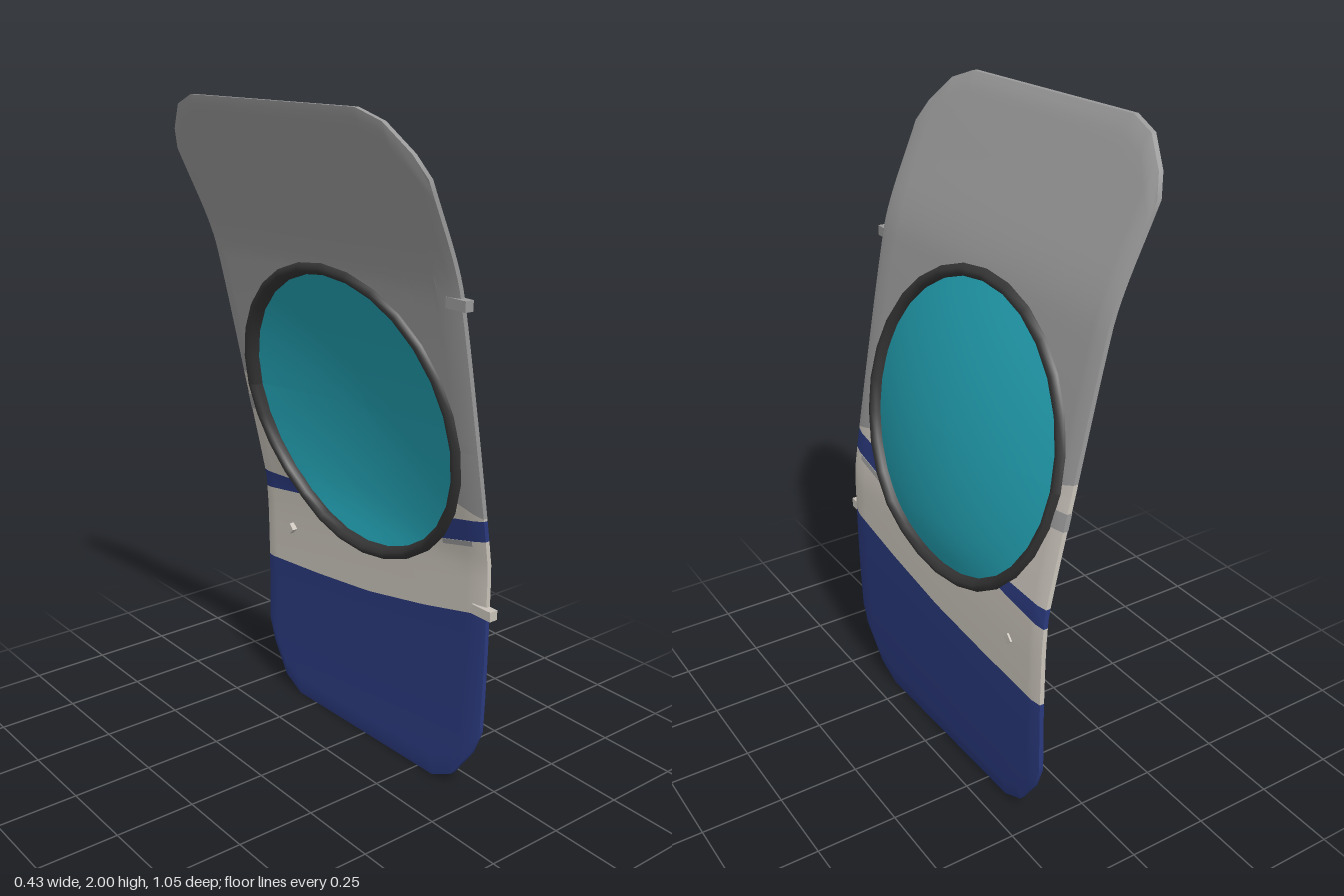
import * as THREE from 'three';
import { toCreasedNormals } from 'three/addons/utils/BufferGeometryUtils.js';

// Piecewise linear curve through [input, value] pairs
const curve = (...pts) => (t) => {
  let i = 1;
  while (i < pts.length - 1 && t > pts[i][0]) i++;
  const [a, b] = [pts[i - 1], pts[i]];
  const k = THREE.MathUtils.clamp((t - a[0]) / (b[0] - a[0]), 0, 1);
  return a[1] + (b[1] - a[1]) * k;
};

// Side profile of the panel: x for a height y, straight beside the window
const spline = new THREE.SplineCurve([
  [0, 0.168], [0.2, 0.178], [0.45, 0.183], [0.7, 0.18], [0.8, 0.168], [1.09, 0.112],
  [1.45, 0.04], [1.6, 0.001], [1.8, -0.086], [2, -0.176],
].map(([y, x]) => new THREE.Vector2(y, x)));
const profile = curve(...spline.getPoints(90).map((p) => [p.x, p.y]));
const twist = curve([0, 0.02], [0.63, 0.03], [1.09, 0.055], [2, 0.087]);
const surfaceX = (y, z) => profile(y) + twist(y) * z;

// Panel outline with clipped round corners
const Z0 = -0.52, Z1 = 0.495;
const corner = curve([0, 0.22], [0.03, 0.14], [0.1, 0.04], [0.18, 0]);
const side = (z) => Math.min(z - Z0, Z1 - z);
const bottom = (z) => corner(side(z));
const top = (z) => 2 - corner(side(z)) * 0.75;

// Round window opening
const CY = 1.085, CZ = -0.024, RADIUS = 0.445;
const opening = (z) => Math.sqrt(Math.max(0, RADIUS ** 2 - (z - CZ) ** 2));
const sill = (z) => CY - opening(z);
const head = (z) => CY + opening(z);

const columns = [];
for (const d of [0, 0.03, 0.1, 0.18]) columns.push(Z0 + d, Z1 - d);
for (let i = 0; i <= 36; i++) columns.push(CZ - RADIUS * Math.cos(Math.PI * i / 36));
columns.sort((a, b) => a - b);

// Solid slice of the curved panel between two height curves
function band(lo, hi, rows, zs = columns, extra = 0) {
  const pos = [], idx = [], n = 2 * (rows + 1);
  zs.forEach((z) => {
    for (let j = 0; j < n; j++) {
      const outer = j <= rows;
      const k = (outer ? j : n - 1 - j) / rows;
      const y = lo(z) + (hi(z) - lo(z)) * k;
      const edge = Math.max(0, Math.min(y - bottom(z), top(z) - y, side(z)));
      const half = 0.007 + 0.007 * Math.min(1, edge / 0.03) + extra;
      pos.push(surfaceX(y, z) + (outer ? half : -half), y, z);
    }
  });
  const quad = (a, b, c, d) => idx.push(a, b, c, a, c, d);
  for (let i = 0; i < zs.length - 1; i++) {
    for (let j = 0; j < n; j++) {
      const j2 = (j + 1) % n, a = i * n, b = a + n;
      quad(a + j, a + j2, b + j2, b + j);
    }
  }
  const last = (zs.length - 1) * n;
  for (let j = 0; j < rows; j++) {
    quad(last + j, last + j + 1, last + n - 2 - j, last + n - 1 - j);
    quad(n - 1 - j, n - 2 - j, j + 1, j);
  }
  const g = new THREE.BufferGeometry();
  g.setAttribute('position', new THREE.Float32BufferAttribute(pos, 3));
  g.setIndex(idx);
  return toCreasedNormals(g, 0.6);
}

// Turns a flat round geometry towards the side and lays it on the panel
function drape(g, depth, bulge = 0) {
  g.rotateY(Math.PI / 2);
  const p = g.attributes.position;
  for (let i = 0; i < p.count; i++) {
    const r2 = (p.getY(i) ** 2 + p.getZ(i) ** 2) / RADIUS ** 2;
    const y = p.getY(i) + CY, z = p.getZ(i) + CZ;
    p.setXYZ(i, surfaceX(y, z) + p.getX(i) * depth + bulge * Math.max(0, 1 - r2), y, z);
  }
  g.computeVertexNormals();
  return g;
}

export function createModel() {
  const group = new THREE.Group();
  const material = (name, color) => {
    const m = new THREE.MeshStandardMaterial({ color });
    m.name = name;
    return m;
  };
  const grey = material('grey paint', 0x999999);
  const cream = material('cream paint', 0xc8c2b9);
  const blue = material('blue paint', 0x2a397c);
  const teal = material('teal glass', 0x229fb0);
  const rubber = material('dark rubber', 0x343434);
  teal.side = THREE.DoubleSide;
  const add = (name, geometry, mat) => {
    const mesh = new THREE.Mesh(geometry, mat);
    mesh.name = name;
    group.add(mesh);
    return mesh;
  };
  // Band cut by the window: one piece under the opening, one over it
  const addCut = (name, lo, hi, rows, mat) => {
    add(name + 'Below', band((z) => Math.min(lo(z), sill(z)), (z) => Math.min(hi(z), sill(z)), rows), mat);
    add(name + 'Above', band((z) => Math.max(lo(z), head(z)), (z) => Math.max(hi(z), head(z)), rows), mat);
  };

  // Painted bands, from the foot of the panel to its top
  const blueTop = curve([Z0, 0.455], [-0.25, 0.475], [0, 0.5], [0.25, 0.545], [Z1, 0.6]);
  const stripeLow = curve([Z0, 0.705], [-0.3, 0.735], [0.3, 0.78], [Z1, 0.825]);
  const stripeHigh = curve([Z0, 0.765], [-0.3, 0.775], [0.3, 0.85], [Z1, 0.888]);
  const creamTop = curve([Z0, 1.12], [-0.45, 1.1], [0.4, 0.92], [Z1, 0.895]);
  add('lowerPanel', band(bottom, blueTop, 16), blue);
  addCut('creamBand', blueTop, stripeLow, 6, cream);
  addCut('thinStripe', stripeLow, stripeHigh, 2, blue);
  addCut('upperCreamBand', stripeHigh, creamTop, 6, cream);
  addCut('upperPanel', creamTop, top, 24, grey);

  // Small grey patches beside the window
  add('rearPatch', band(() => 0.99, () => 1.04, 1, [Z0 - 0.001, -0.49, -0.47], 0.001), grey);
  add('frontPatch', band((z) => stripeLow(z) - 0.016, stripeLow, 1, [0.33, 0.4, 0.45], 0.002), grey);

  // Round window: one bulging pane in a deep rubber frame
  add('windowGlass', drape(new THREE.RingGeometry(0, RADIUS, 40, 8), 1, 0.064), teal);
  add('windowFrame', drape(new THREE.TorusGeometry(RADIUS, 0.02, 10, 28), 1.6), rubber);

  // Hinge tabs on the inner side of the front edge
  [['upperHinge', 1.512, grey], ['lowerHinge', 0.607, cream]].forEach(([name, y, mat]) => {
    add(name, new THREE.BoxGeometry(0.028, 0.03, 0.075), mat)
      .position.set(surfaceX(y, Z1) - 0.008, y, 0.488);
  });

  // Latch pin through the panel
  const pin = add('latchPin', new THREE.BoxGeometry(0.05, 0.026, 0.026), cream);
  pin.position.set(surfaceX(0.597, -0.375) - 0.006, 0.597, -0.375);
  pin.rotation.x = Math.PI / 4;

  return group;
}
